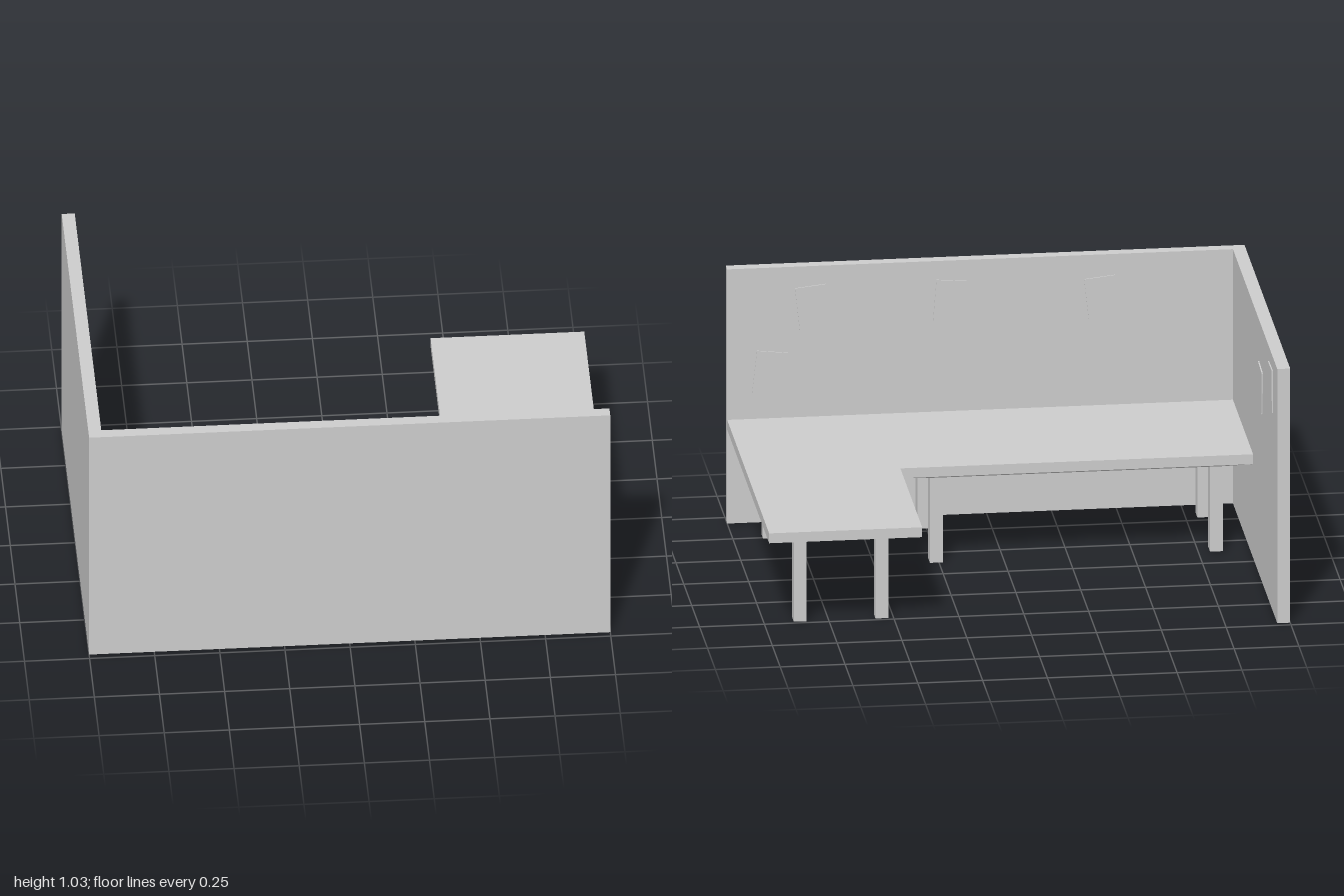
import * as THREE from 'three';

const grey = new THREE.MeshStandardMaterial({ color: 0xcccccc, flatShading: true });

// Horizontal slab from an outline of [x, z] points
function slab(name, outline, y0, y1) {
  const shape = new THREE.Shape(outline.map(([x, z]) => new THREE.Vector2(x, -z)));
  const geo = new THREE.ExtrudeGeometry(shape, { depth: y1 - y0, bevelEnabled: false });
  geo.rotateX(-Math.PI / 2).translate(0, y0, 0);
  const mesh = new THREE.Mesh(geo, grey);
  mesh.name = name;
  return mesh;
}

function box(name, x0, x1, y0, y1, z0, z1) {
  const mesh = new THREE.Mesh(new THREE.BoxGeometry(x1 - x0, y1 - y0, z1 - z0), grey);
  mesh.position.set((x0 + x1) / 2, (y0 + y1) / 2, (z0 + z1) / 2);
  mesh.name = name;
  return mesh;
}

// Box whose bottom face is pulled in to the given rectangle
function taperedPanel(name, [x0, x1, z0, z1], [bx0, bx1, bz0, bz1], y0, y1) {
  const geo = new THREE.BoxGeometry(1, 1, 1);
  const p = geo.attributes.position;
  for (let i = 0; i < p.count; i++) {
    const right = p.getX(i) > 0, front = p.getZ(i) > 0;
    if (p.getY(i) > 0) p.setXYZ(i, right ? x1 : x0, y1, front ? z1 : z0);
    else p.setXYZ(i, right ? bx1 : bx0, y0, front ? bz1 : bz0);
  }
  geo.computeVertexNormals();
  const mesh = new THREE.Mesh(geo, grey);
  mesh.name = name;
  return mesh;
}

export function createModel() {
  const model = new THREE.Group();

  // Partition walls meeting at a corner
  model.add(slab('partitionWalls',
    [[-1, 0.725], [1, 0.725], [1, 0.68], [-0.95, 0.68], [-0.95, -0.725], [-1, -0.725]], 0, 1.03));

  // L-shaped worktop
  model.add(slab('desktop',
    [[-0.95, 0.68], [1, 0.68], [1, -0.65], [0.41, -0.65], [0.41, 0.04], [-0.95, 0.04]], 0.38, 0.42));

  // Tapered supports below each arm of the worktop
  model.add(taperedPanel('mainUnderside',
    [-0.95, 0.41, 0.04, 0.68], [-0.845, 0.285, 0.13, 0.593], 0.345, 0.38));
  model.add(taperedPanel('returnUnderside',
    [0.41, 1, -0.65, 0.68], [0.52, 0.885, -0.485, 0.543], 0.345, 0.38));

  // Legs: centre x, centre z, depth
  const legs = [
    [-0.82, 0.562, 0.06], [-0.82, 0.162, 0.06], [0.26, 0.562, 0.06], [0.26, 0.162, 0.06],
    [0.86, 0.515, 0.053], [0.86, -0.46, 0.05], [0.545, -0.46, 0.05],
  ];
  for (const [x, z, d] of legs) {
    model.add(box('leg', x - 0.025, x + 0.025, 0, 0.35, z - d / 2, z + d / 2));
  }

  // Paper notes on the long wall: x, y, tilt
  const notes = [[0.67, 0.865, -0.11], [0.835, 0.605, 0.11], [0.14, 0.865, 0.08], [-0.445, 0.855, -0.11]];
  for (const [x, y, tilt] of notes) {
    const note = box('wallNote', x - 0.06, x + 0.06, y - 0.085, y + 0.085, 0.675, 0.682);
    note.rotation.z = tilt;
    model.add(note);
  }

  // Paper notes on the side wall: z, y, tilt
  for (const [z, y, tilt] of [[-0.205, 0.775, -0.08], [-0.53, 0.89, 0.03]]) {
    const note = box('sideWallNote', -0.952, -0.945, y - 0.085, y + 0.085, z - 0.06, z + 0.06);
    note.rotation.x = tilt;
    model.add(note);
  }

  return model;
}
